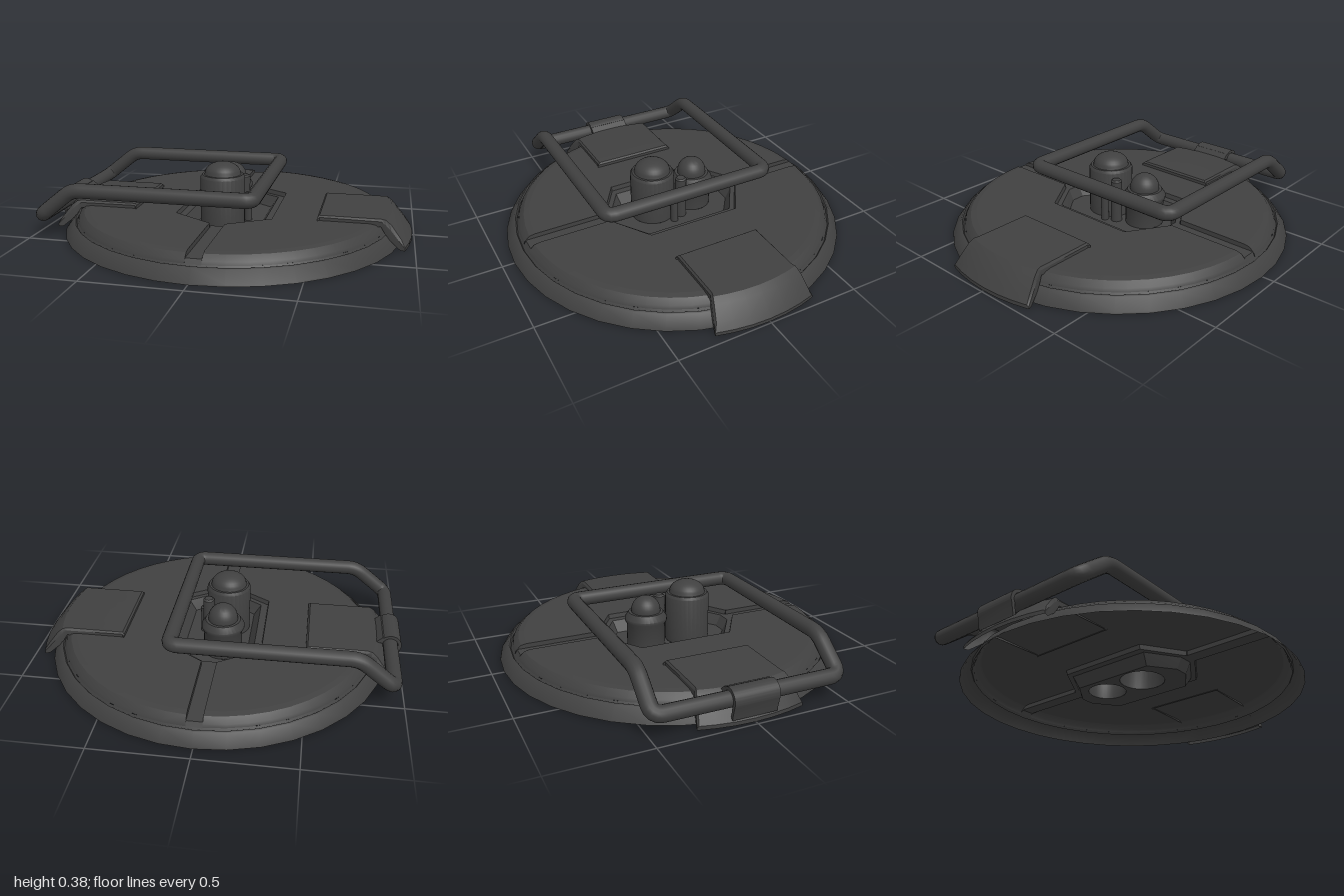
import * as THREE from 'three';
import { toCreasedNormals } from 'three/addons/utils/BufferGeometryUtils.js';

const dark = new THREE.MeshStandardMaterial({ color: 0x404040, side: THREE.DoubleSide });

function add(parent, name, geometry) {
  const mesh = new THREE.Mesh(geometry, dark);
  mesh.name = name;
  parent.add(mesh);
  return mesh;
}

// Skin between rows of [x, y, z] points; skip(row, column) leaves a face out
function loft(rows, closed = false, skip = () => false) {
  const pos = [];
  const n = rows[0].length;
  for (let i = 0; i < rows.length - 1; i++) {
    for (let j = 0; j < (closed ? n : n - 1); j++) {
      if (skip(i, j)) continue;
      const k = (j + 1) % n;
      const a = rows[i][j], b = rows[i][k], c = rows[i + 1][k], d = rows[i + 1][j];
      pos.push(...a, ...b, ...c, ...a, ...c, ...d);
    }
  }
  const g = new THREE.BufferGeometry();
  g.setAttribute('position', new THREE.Float32BufferAttribute(pos, 3));
  g.computeVertexNormals();
  return toCreasedNormals(g, 0.5);
}

function lathe(points, segments) {
  const g = new THREE.LatheGeometry(points.map(p => new THREE.Vector2(...p)), segments);
  return toCreasedNormals(g, 0.6);
}

function flat(shape, y) {
  return new THREE.ShapeGeometry(shape, 24).rotateX(-Math.PI / 2).translate(0, y, 0);
}

const SLOT = 0.04; // half width of the centre groove

// Half circle on the +x side, cut off at the groove
function halfArc(r, y) {
  const a = Math.acos(SLOT / r);
  return Array.from({ length: 25 }, (_, i) => {
    const t = -a + (2 * a * i) / 24;
    return [r * Math.cos(t), y, r * Math.sin(t)];
  });
}

// Six-sided outline with its two points cut to the groove width
function hexRing(w, za, zb, y) {
  return [[SLOT, y, za], [w, y, zb], [w, y, -zb], [SLOT, y, -za],
    [-SLOT, y, -za], [-w, y, -zb], [-w, y, zb], [-SLOT, y, za]];
}

function halfPlate() {
  const g = new THREE.Group();
  const edge = [[0.80, 0.12], [0.83, 0.114], [0.858, 0.088], [0.865, 0.072]];
  add(g, 'plateBevel', loft(edge.map(([r, y]) => halfArc(r, y))));
  const outline = halfArc(0.80, 0).map(p => new THREE.Vector2(p[0], p[2]));
  outline.push(new THREE.Vector2(SLOT, 0.40), new THREE.Vector2(0.26, 0.26),
    new THREE.Vector2(0.26, -0.26), new THREE.Vector2(SLOT, -0.40));
  add(g, 'plateTop', flat(new THREE.Shape(outline), 0.12));
  for (const s of [1, -1]) {
    const top = [[SLOT, 0.12, s * 0.40], ...edge.map(([r, y]) => [SLOT, y, s * r])];
    add(g, 'grooveWall', loft([top, top.map(p => [p[0], Math.min(p[1], 0.095), p[2]])]));
  }
  return g;
}

// Raised pad that runs over the rim, on the +x side
function pad(slotted) {
  const columns = [-1, -0.7, -0.36, 0, 0.36, 0.7, 1];
  // [x or radius, y, half width, skirt depth, curved]
  const sections = [[0.495, 0.115, 0.235, 0, 0], [0.495, 0.137, 0.235, 0.025, 0],
    [0.505, 0.146, 0.227, 0.03, 0], [0.82, 0.146, 0.227, 0.04, 0],
    [0.875, 0.144, 0.235, 0.07, 1], [0.905, 0.122, 0.245, 0.08, 1],
    [0.96, 0.055, 0.262, 0.055, 1], [0.985, 0.02, 0.27, 0.02, 1], [0.985, 0, 0.272, 0, 1]];
  const rows = sections.map(([r, y, w, drop, curved]) => {
    const at = (z, h) => [curved ? Math.sqrt(r * r - z * z) : r, h, z];
    const row = columns.map(t => at(t * w, y));
    const side = w + (drop ? 0.009 : 0);
    return [at(-side, y - drop), at(-side, y - drop * 0.3), ...row,
      at(side, y - drop * 0.3), at(side, y - drop)];
  });
  return loft(rows, false, (i, j) => slotted && i === 5 && (j === 4 || j === 5));
}

// Closed path through the corners, each rounded off
function roundedLoop(corners, d) {
  const path = new THREE.CurvePath();
  const n = corners.length;
  const toward = (a, b) => a.clone().add(b.clone().sub(a).setLength(d));
  for (let i = 0; i < n; i++) {
    const prev = corners[(i + n - 1) % n], c = corners[i], next = corners[(i + 1) % n];
    const out = toward(c, next);
    path.add(new THREE.QuadraticBezierCurve3(toward(c, prev), c, out));
    path.add(new THREE.LineCurve3(out, toward(next, c)));
  }
  return path;
}

export function createModel() {
  const model = new THREE.Group();
  model.name = 'hatch';

  // Lid: open shell with rim, two half plates and a groove between them
  const lid = new THREE.Group();
  lid.name = 'lid';
  lid.position.x = 0.005;
  model.add(lid);
  add(lid, 'rim', lathe([[0.935, 0], [0.932, 0.008], [0.89, 0.064], [0.88, 0.068],
    [0.874, 0.058], [0.865, 0.072]], 36));
  for (const s of [1, -1]) {
    const half = halfPlate();
    half.name = s > 0 ? 'leftPlate' : 'rightPlate';
    half.scale.x = s;
    lid.add(half);
    const p = add(lid, s > 0 ? 'leftPad' : 'rightPad', pad(s < 0));
    p.scale.x = s;
    const floor = [[0.37, 0.095], [0.85, 0.095], [0.865, 0.07]];
    add(lid, 'grooveFloor', loft(floor.map(([z, y]) => [[-SLOT, y, s * z], [SLOT, y, s * z]])));
  }

  // Six-sided well, open to the groove at its two ends
  add(lid, 'wellWall', loft([hexRing(0.26, 0.40, 0.26, 0.12), hexRing(0.255, 0.395, 0.257, 0.095),
    hexRing(0.215, 0.365, 0.25, 0.095), hexRing(0.175, 0.335, 0.237, 0.035)], true,
  (i, j) => i === 0 && (j === 3 || j === 7)));
  const floorShape = new THREE.Shape(hexRing(0.175, 0.335, 0.237, 0)
    .map(p => new THREE.Vector2(p[0], p[2])));
  for (const [z, r] of [[0.103, 0.122], [-0.147, 0.105]]) {
    floorShape.holes.push(new THREE.Path().absarc(-0.04, -z, r, 0, Math.PI * 2, true));
  }
  add(lid, 'wellFloor', flat(floorShape, 0.035));

  // Domed posts, hollow below
  const dome = (r, y, h) => Array.from({ length: 9 }, (_, i) => {
    const a = (i / 8) * Math.PI / 2;
    return [r * Math.cos(a), y + h * Math.sin(a)];
  });
  add(model, 'tallPost', lathe([[0.122, 0.035], [0.122, 0.295], [0.112, 0.31], [0.1, 0.31],
    ...dome(0.098, 0.315, 0.063)], 32)).position.set(-0.035, 0, 0.103);
  add(model, 'shortPost', lathe([[0.105, 0.035], [0.105, 0.165], [0.116, 0.185], [0.116, 0.2],
    [0.095, 0.232], [0.08, 0.232], ...dome(0.08, 0.24, 0.08)], 32)).position.set(-0.035, 0, -0.147);

  // Small pins beside the posts
  for (const [x, z, r, top] of [[0.062, -0.025, 0.031, 0.28], [0.095, 0.032, 0.021, 0.195]]) {
    add(model, 'pin', lathe([[r, 0.035], [r, top - 0.008], [r - 0.008, top], [0, top]], 16))
      .position.set(x, 0, z);
  }

  // Bent handle
  const zf = 0.474, zb = -0.492;
  const corners = [[0.198, 0.27, zb], [0.198, 0.27, zf], [-0.755, 0.27, zf],
    [-0.938, 0.123, zf], [-0.938, 0.123, zb], [-0.755, 0.27, zb]].map(p => new THREE.Vector3(...p));
  add(model, 'handle', new THREE.TubeGeometry(roundedLoop(corners, 0.05), 260, 0.04, 14, true));

  // Hinge strap around the handle
  const strap = new THREE.Shape();
  strap.moveTo(-0.863, 0.14);
  strap.lineTo(-0.895, 0.168);
  strap.absarc(-0.94, 0.122, 0.058, 0.85, Math.PI + 0.45, false);
  strap.lineTo(-0.977, 0.03);
  strap.lineTo(-0.965, 0.045);
  strap.absarc(-0.938, 0.122, 0.042, Math.PI + 0.6, 0.2, true);
  strap.closePath();
  const strapGeo = new THREE.ExtrudeGeometry(strap, { depth: 0.235, bevelEnabled: false, curveSegments: 14 });
  add(model, 'hingeStrap', toCreasedNormals(strapGeo, 0.5)).position.z = -0.122;

  return model;
}
